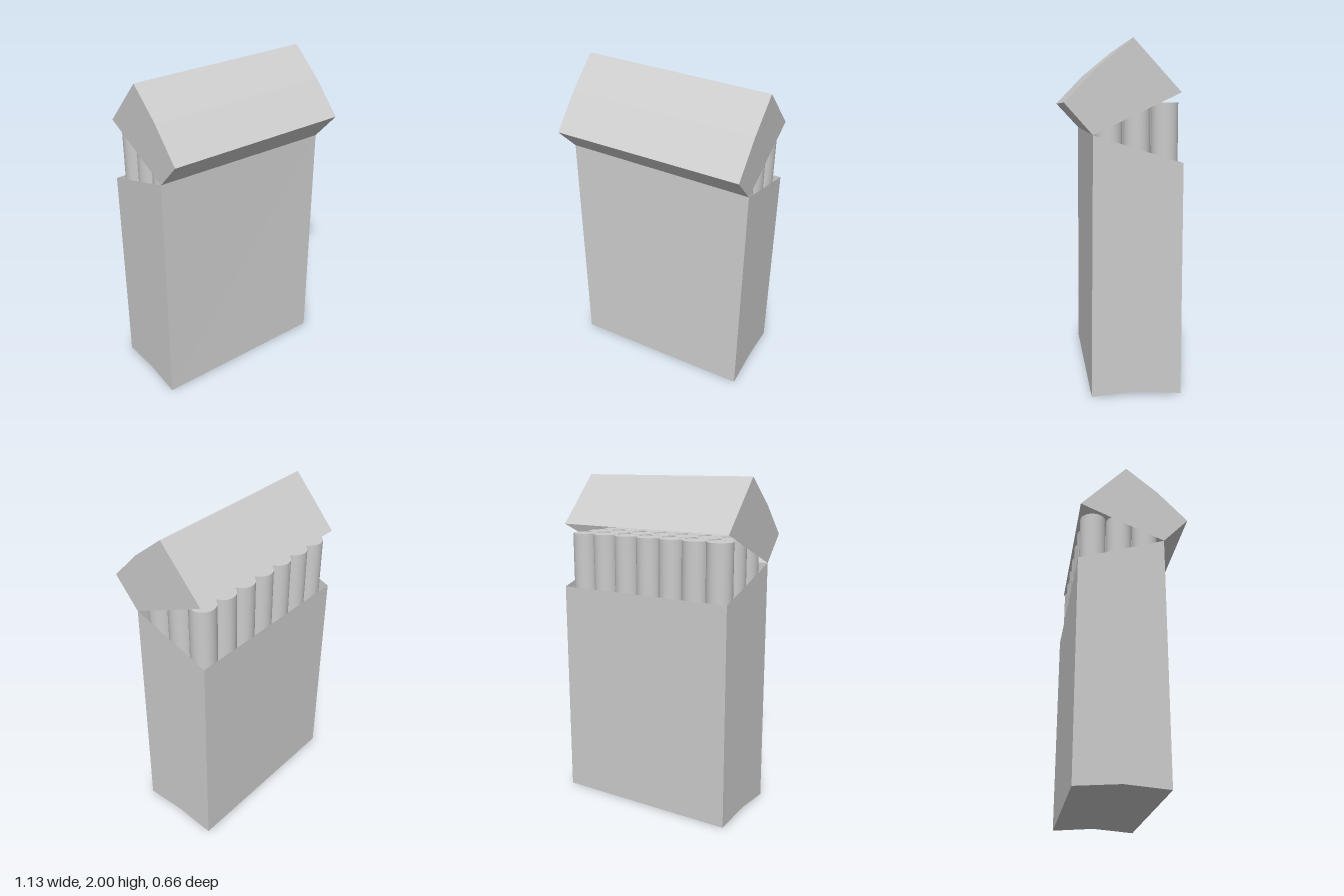
import * as THREE from 'three';

const W = 0.565; // half width of the carton
const card = new THREE.MeshStandardMaterial({ color: 0xcccccc, flatShading: true, side: THREE.DoubleSide });
const paper = new THREE.MeshStandardMaterial({ color: 0xcccccc });

// Thin open shell: an open [z, y] profile per end, joined by walls and closed at both ends.
// fanStart is the profile corner from which the end panels are triangulated.
function shell(name, left, right, fanStart) {
  const n = left.length;
  const pos = [];
  const L = (i) => [W, left[i % n][1], left[i % n][0]];
  const R = (i) => [-W, right[i % n][1], right[i % n][0]];
  const tri = (a, b, c) => pos.push(...a, ...b, ...c);
  for (let i = 0; i < n - 1; i++) {
    tri(L(i), R(i), R(i + 1));
    tri(L(i), R(i + 1), L(i + 1));
  }
  for (let k = 1; k < n - 1; k++) {
    const [a, b, c] = [fanStart, fanStart + k, fanStart + k + 1];
    tri(L(a), L(b), L(c));
    tri(R(a), R(c), R(b));
  }
  const geo = new THREE.BufferGeometry();
  geo.setAttribute('position', new THREE.Float32BufferAttribute(pos, 3));
  geo.computeVertexNormals();
  const mesh = new THREE.Mesh(geo, card);
  mesh.name = name;
  return mesh;
}

export function createModel() {
  const model = new THREE.Group();
  model.name = 'openCarton';

  // Lower carton with slanted rim and a creased bottom
  const base = [[-0.07, 0.02], [-0.328, 0], [-0.328, 1.325]];
  model.add(shell('cartonBody',
    [[0.172, 1.48], [0.185, 0], ...base],
    [[0.18, 1.495], [0.185, 0], ...base], 2));

  // Tilted flip lid, open underneath
  const top = [[-0.045, 2], [0.15, 1.84], [0.328, 1.655]];
  model.add(shell('lid',
    [[-0.313, 1.71], ...top, [0.172, 1.48]],
    [[-0.32, 1.703], ...top, [0.18, 1.495]], 0));

  // Three rows of seven round sticks
  const sticks = new THREE.Group();
  sticks.name = 'sticks';
  const stickGeo = new THREE.CylinderGeometry(0.077, 0.077, 1.63, 24);
  for (const z of [-0.235, -0.078, 0.079]) {
    for (let i = -3; i <= 3; i++) {
      const stick = new THREE.Mesh(stickGeo, paper);
      stick.name = 'stick';
      stick.position.set(i * 0.156, 0.84, z);
      sticks.add(stick);
    }
  }
  model.add(sticks);
  return model;
}
